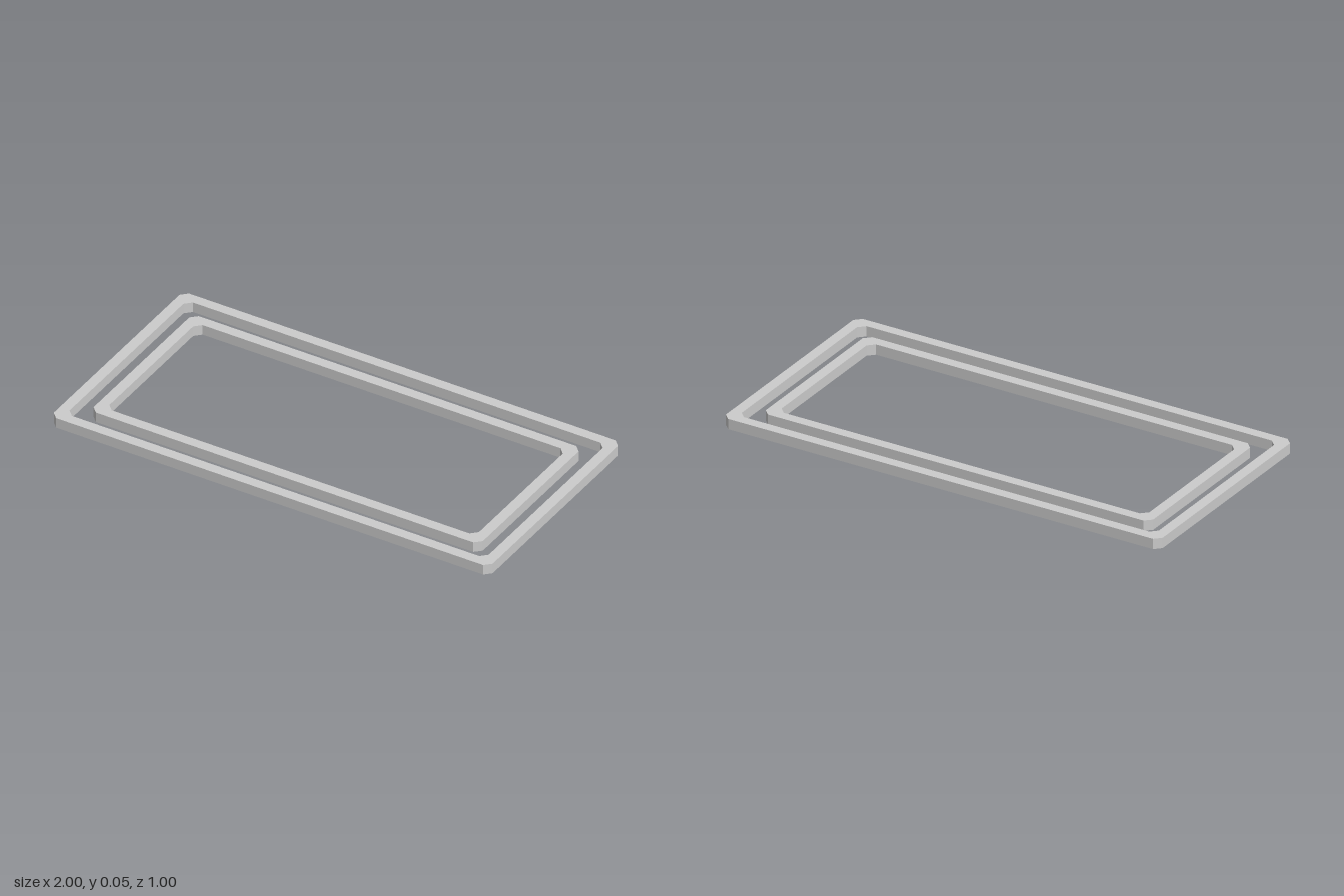
import * as THREE from 'three';

const HEIGHT = 0.045, BAR = 0.045, CHAMFER = 0.027;

// Rectangle with cut corners, given by its half sizes
function cutRectangle(PathType, a, b, c) {
  const path = new PathType();
  path.setFromPoints([
    [a - c, -b], [a, -b + c], [a, b - c], [a - c, b],
    [-a + c, b], [-a, b - c], [-a, -b + c], [-a + c, -b],
  ].map(([x, y]) => new THREE.Vector2(x, y)));
  path.closePath();
  return path;
}

// Flat frame lying on the ground
function makeFrame(name, halfX, halfZ, material) {
  const shape = cutRectangle(THREE.Shape, halfX, halfZ, CHAMFER);
  shape.holes.push(cutRectangle(THREE.Path, halfX - BAR, halfZ - BAR, CHAMFER));
  const geometry = new THREE.ExtrudeGeometry(shape, { depth: HEIGHT, bevelEnabled: false });
  geometry.rotateX(-Math.PI / 2);
  const mesh = new THREE.Mesh(geometry, material);
  mesh.name = name;
  return mesh;
}

export function createModel() {
  const material = new THREE.MeshStandardMaterial({ color: 0xcccccc, flatShading: true });
  const group = new THREE.Group();
  group.name = 'nestedFrames';
  group.add(
    makeFrame('outerFrame', 1, 0.5, material),
    makeFrame('innerFrame', 0.887, 0.387, material),
  );
  return group;
}
